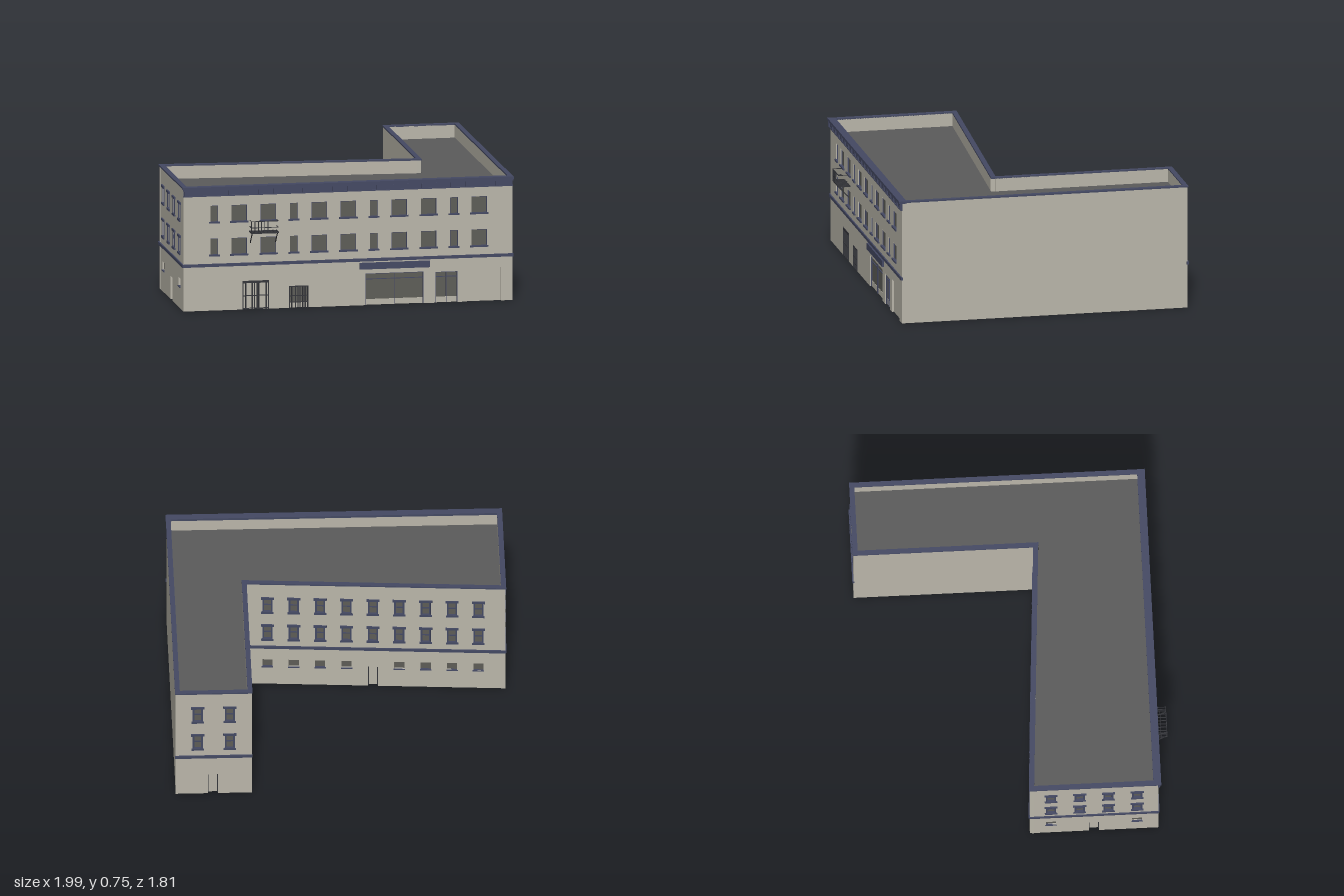
import * as THREE from 'three';

const mat = (name, color) => new THREE.MeshStandardMaterial({ name, color });
const M = {
  wall: mat('stone wall', 0xbab6aa),
  roof: mat('roof grey', 0x5b5b5b),
  trim: mat('navy trim', 0x444963),
  glass: mat('window glass', 0x5e5d57),
  metal: mat('dark metal', 0x34353a),
};
const H = 0.738;   // wall height under the coping
const T = 0.025;   // wall thickness

export function createModel() {
  const model = new THREE.Group();
  model.name = 'building';

  // Box given by its local extents
  const box = (parent, name, m, x0, x1, y0, y1, z0, z1) => {
    const mesh = new THREE.Mesh(new THREE.BoxGeometry(x1 - x0, y1 - y0, z1 - z0), m);
    mesh.position.set((x0 + x1) / 2, (y0 + y1) / 2, (z0 + z1) / 2);
    mesh.name = name;
    parent.add(mesh);
    return mesh;
  };

  // Wall from a to b (left to right seen from outside); local +z faces out.
  // Windows are {x, y, w, h}, doors are {x, w, h} notches in the bottom edge.
  const wall = (name, a, b, windows = [], doors = []) => {
    const dx = b[0] - a[0], dz = b[1] - a[1], half = Math.hypot(dx, dz) / 2;
    const g = new THREE.Group();
    g.name = name;
    g.position.set((a[0] + b[0]) / 2, 0, (a[1] + b[1]) / 2);
    g.rotation.y = Math.atan2(-dz, dx);
    const s = new THREE.Shape();
    s.moveTo(-half, 0);
    [...doors].sort((p, q) => p.x - q.x).forEach(({ x, w, h }) => {
      s.lineTo(x - w / 2, 0); s.lineTo(x - w / 2, h);
      s.lineTo(x + w / 2, h); s.lineTo(x + w / 2, 0);
    });
    s.lineTo(half, 0); s.lineTo(half, H); s.lineTo(-half, H);
    s.closePath();
    for (const { x, y, w, h } of windows) {
      const p = new THREE.Path();
      p.moveTo(x - w / 2, y); p.lineTo(x - w / 2, y + h);
      p.lineTo(x + w / 2, y + h); p.lineTo(x + w / 2, y);
      p.closePath();
      s.holes.push(p);
    }
    const geo = new THREE.ExtrudeGeometry(s, { depth: T, bevelEnabled: false });
    geo.translate(0, 0, -T);
    const mesh = new THREE.Mesh(geo, M.wall);
    mesh.name = name + 'Masonry';
    g.add(mesh);
    windows.forEach((w) => addWindow(g, w));
    g.userData.half = half;
    model.add(g);
    return g;
  };

  // Glass, sash and sill; ornate windows also get a lintel and jambs
  const addWindow = (g, { x, y, w, h, style }) => {
    const l = x - w / 2, r = x + w / 2, t = y + h;
    box(g, 'windowGlass', M.glass, l, r, y, t, -0.016, -0.010);
    if (style === 'small') {
      box(g, 'windowSill', M.trim, l - 0.004, r + 0.004, y - 0.006, y, -0.01, 0.005);
      return;
    }
    box(g, 'windowSill', M.trim, l - 0.008, r + 0.008, y - 0.008, y + 0.002, -0.01, 0.008);
    for (const e of [l, r - 0.003]) box(g, 'windowFrame', M.trim, e, e + 0.003, y, t, -0.011, -0.004);
    box(g, 'windowFrame', M.trim, l, r, t - 0.003, t, -0.011, -0.004);
    if (style !== 'ornate') return;
    box(g, 'windowRail', M.trim, l, r, y + h / 2 - 0.003, y + h / 2 + 0.003, -0.011, -0.004);
    box(g, 'windowLintel', M.trim, l - 0.016, r + 0.016, t - 0.002, t + 0.012, -0.004, 0.008);
    box(g, 'windowSillLedge', M.trim, l - 0.014, r + 0.014, y - 0.012, y - 0.002, -0.004, 0.008);
    for (const e of [l - 0.007, r]) box(g, 'windowJamb', M.trim, e, e + 0.007, y, t, -0.004, 0.004);
  };

  const band = (g) => box(g, 'stringCourse', M.trim, -g.userData.half - 0.004, g.userData.half + 0.004, 0.264, 0.282, -0.004, 0.008);
  const ornateRows = (xs) => xs.flatMap((x) => [0.335, 0.535].map((y) => ({ x, y, w: 0.046, h: 0.094, style: 'ornate' })));
  const smallRow = (xs) => xs.map((x) => ({ x, y: 0.13, w: 0.06, h: 0.05, style: 'small' }));
  const plainDoor = (g, x) => {
    box(g, 'doorPanel', M.wall, x - 0.03, x + 0.03, 0, 0.14, -T, -0.018);
    for (const e of [-0.03, 0.025]) box(g, 'doorFrame', M.metal, x + e, x + e + 0.005, 0, 0.14, -0.018, -0.012);
  };

  // Footprint corners [x, z]
  const FL = [-0.99, 0.83], FR = [0.99, 0.83], BR = [0.99, -0.897];
  const BW = [0.54, -0.897], IN = [0.54, 0.17], BL = [-0.99, 0.07];

  // Front facade
  const cols = [-0.805, -0.655, -0.479, -0.326, -0.173, 0.002, 0.155, 0.308, 0.485, 0.637, 0.789];
  const frontWindows = cols.flatMap((x, i) => [0.335, 0.533].map((y) => ({ x, y, w: i % 3 ? 0.094 : 0.048, h: 0.098 })));
  const openings = [
    { x: -0.555, w: 0.16, h: 0.172 }, { x: -0.297, w: 0.115, h: 0.132 },
    { x: 0.28, w: 0.35, h: 0.19 }, { x: 0.5925, w: 0.135, h: 0.185 }, { x: 0.8175, w: 0.205, h: 0.2 },
  ];
  const front = wall('frontWall', FL, FR, frontWindows, openings);
  band(front);
  box(front, 'signBoard', M.trim, 0.07, 0.49, 0.217, 0.256, -0.002, 0.012);

  // Backs of the ground-floor openings: plain panels, or glass over a low panel
  openings.forEach(({ x, w, h }, i) => {
    const l = x - w / 2, r = x + w / 2, glazed = i > 0 && i < 4;
    box(front, 'entrancePanel', M.wall, l, r, 0, glazed ? 0.034 : h, -T, -0.012);
    if (!glazed) return;
    box(front, 'shopGlass', M.glass, l, r, 0.034, h, -0.022, -0.014);
    if (i === 1) return;
    for (const e of [l, x - 0.002, r - 0.004]) box(front, 'shopMullion', M.trim, e, e + 0.004, 0, h, -0.014, -0.006);
    box(front, 'shopTransom', M.trim, l, r, 0.153, 0.157, -0.014, -0.008);
    box(front, 'shopHead', M.trim, l, r, h - 0.004, h, -0.014, -0.006);
  });

  // Metal gates
  const gate = (name, xs, h, rails) => {
    const g = new THREE.Group();
    g.name = name;
    xs.forEach((x) => box(g, 'gateBar', M.metal, x - 0.003, x + 0.003, 0, h, -0.008, 0.002));
    rails.forEach(([y, t]) => box(g, 'gateRail', M.metal, xs[0], xs[xs.length - 1], y, y + t, -0.007, 0.003));
    front.add(g);
  };
  gate('tallGate', [-0.632, -0.614, -0.575, -0.562, -0.546, -0.536, -0.492, -0.478], 0.172, [[0.158, 0.014], [0.08, 0.004], [0.004, 0.004]]);
  gate('lowGate', [-0.352, -0.338, -0.315, -0.3, -0.288, -0.272, -0.256, -0.242], 0.132, [[0.126, 0.006], [0.07, 0.004], [0.032, 0.004]]);

  // Cornice with brackets
  const cornice = new THREE.Group();
  cornice.name = 'cornice';
  front.add(cornice);
  box(cornice, 'frieze', M.trim, -0.99, 0.99, 0.688, 0.735, -0.002, 0.005);
  box(cornice, 'corniceFoot', M.trim, -0.992, 0.992, 0.688, 0.694, 0, 0.009);
  box(cornice, 'corniceStep', M.trim, -0.992, 0.992, 0.722, 0.732, 0, 0.012);
  box(cornice, 'corniceTop', M.trim, -0.995, 0.995, 0.732, 0.746, -0.028, 0.018);
  for (let i = 0; i <= 22; i++) {
    const x = -0.98 + i * 1.96 / 22;
    box(cornice, 'corniceBracket', M.trim, x - 0.007, x + 0.007, 0.694, 0.724, 0, 0.014);
  }

  // Fire balcony
  const balcony = new THREE.Group();
  balcony.name = 'balcony';
  front.add(balcony);
  const X0 = -0.595, X1 = -0.432, Z = 0.073;
  for (let i = 0; i <= 8; i++) {
    const x = X0 + i * (X1 - X0) / 8;
    box(balcony, 'floorSlat', M.metal, x - 0.002, x + 0.002, 0.468, 0.474, 0, Z);
  }
  for (const z of [0.004, 0.038, Z]) box(balcony, 'floorBeam', M.metal, X0, X1, 0.466, 0.473, z - 0.003, z);
  for (const y of [0.5, 0.538]) {
    box(balcony, 'frontRail', M.metal, X0, X1, y, y + 0.004, Z - 0.003, Z);
    for (const x of [X0, X1 - 0.003]) box(balcony, 'sideRail', M.metal, x, x + 0.003, y, y + 0.004, 0.018, Z);
  }
  for (const x of [-0.594, -0.573, -0.552, -0.535, -0.515, -0.495])
    box(balcony, 'baluster', M.metal, x - 0.002, x + 0.002, 0.472, 0.54, Z - 0.003, Z);
  for (const x of [-0.59, -0.438]) {
    const brace = box(balcony, 'brace', M.metal, -0.0025, 0.0025, -0.046, 0.046, -0.0025, 0.0025);
    brace.position.set(x, 0.437, 0.041);
    brace.rotation.x = Math.atan2(0.062, 0.066);
  }

  // Plain side walls
  wall('rightWall', FR, BR);
  wall('wingInnerWall', BW, IN);

  // Wing end
  const wing = wall('wingEndWall', BR, BW, ornateRows([-0.095, 0.095]), [{ x: -0.005, w: 0.06, h: 0.14 }]);
  band(wing);
  plainDoor(wing, -0.005);

  // Slanted rear wall
  const rearCols = Array.from({ length: 9 }, (_, i) => -0.64 + i * 0.156);
  const rear = wall('rearWall', IN, BL,
    [...ornateRows(rearCols), ...smallRow(rearCols.filter((_, i) => i !== 4))],
    [{ x: rearCols[4], w: 0.06, h: 0.14 }]);
  band(rear);
  plainDoor(rear, rearCols[4]);

  // Left wall
  const left = wall('leftWall', BL, FL,
    [...ornateRows([-0.255, -0.085, 0.085, 0.255]), ...smallRow([-0.255, 0.255])],
    [{ x: 0, w: 0.06, h: 0.14 }]);
  band(left);
  plainDoor(left, 0);

  // Flat plate from an outline of [x, z] points
  const plate = (name, m, pts, y, depth, hole) => {
    const v = (list) => list.map(([x, z]) => new THREE.Vector2(x, -z));
    const s = new THREE.Shape(v(pts));
    if (hole) s.holes.push(new THREE.Path(v(hole)));
    const geo = new THREE.ExtrudeGeometry(s, { depth, bevelEnabled: false }).rotateX(-Math.PI / 2);
    const mesh = new THREE.Mesh(geo, m);
    mesh.position.y = y;
    mesh.name = name;
    model.add(mesh);
  };
  const inner = [[-0.965, 0.805], [0.965, 0.805], [0.965, -0.872], [0.565, -0.872], [0.565, 0.197], [-0.965, 0.097]];
  const outer = [[-0.996, 0.834], [0.994, 0.834], [0.994, -0.902], [0.536, -0.902], [0.536, 0.165], [-0.996, 0.065]];
  plate('roof', M.roof, inner, 0.65, 0.01);
  plate('parapetCoping', M.trim, outer, 0.736, 0.009, inner);

  return model;
}
